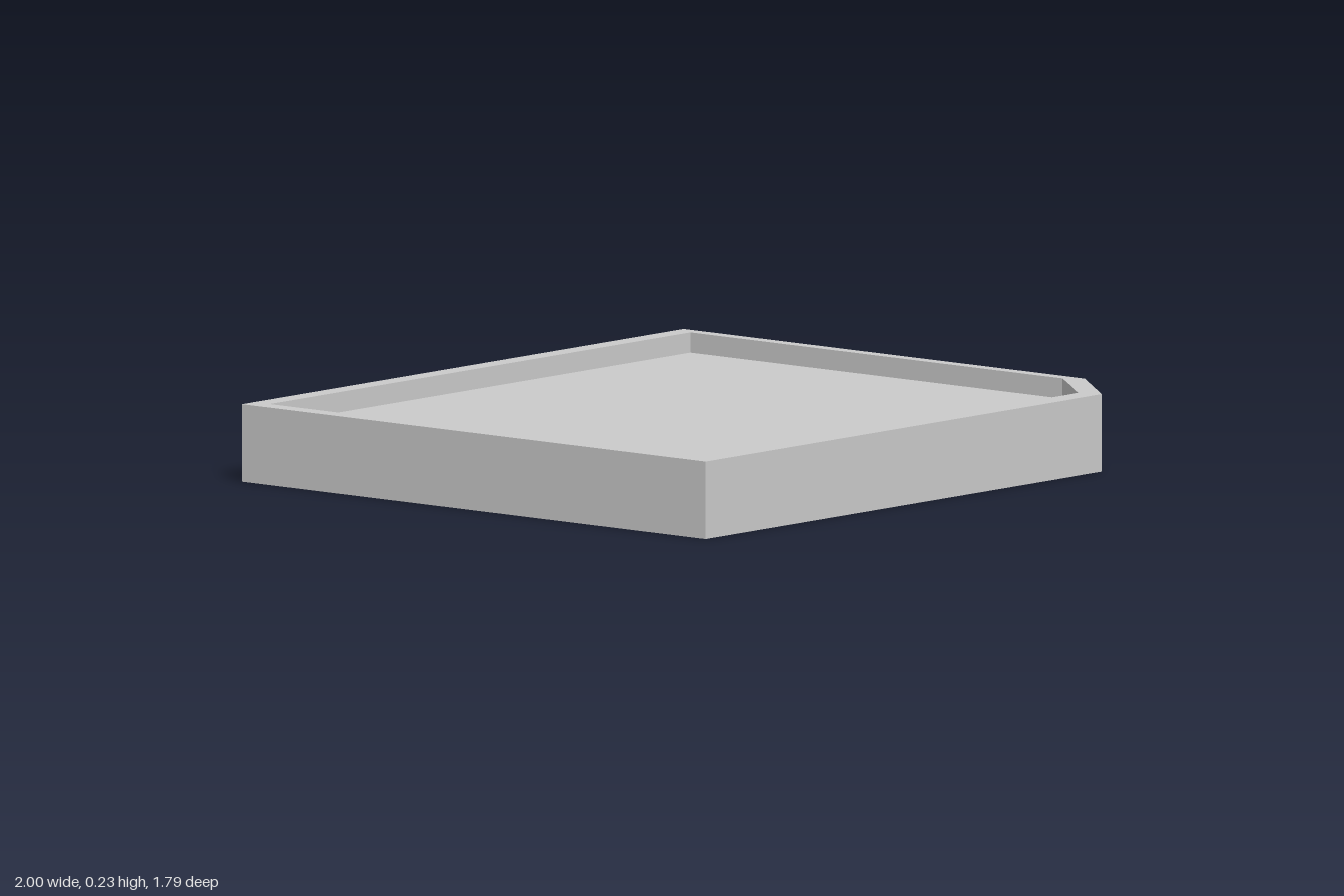
import * as THREE from 'three';

const material = new THREE.MeshStandardMaterial({ color: 0xcccccc, flatShading: true });

// Outlines seen from above as [x, z], each with one clipped front corner
const outer = [[-1, 0.895], [0.795, 0.895], [1, 0.655], [1, -0.895], [-1, -0.895]];
const inner = [[-0.945, 0.825], [0.77, 0.825], [0.96, 0.6], [0.96, -0.835], [-0.945, -0.835]];

const toPoints = (outline) => outline.map(([x, z]) => new THREE.Vector2(x, -z));

// Extrudes a plan outline upward between two heights
function slab(name, shape, bottom, top) {
  const geometry = new THREE.ExtrudeGeometry(shape, { depth: top - bottom, bevelEnabled: false });
  geometry.rotateX(-Math.PI / 2).translate(0, bottom, 0);
  const mesh = new THREE.Mesh(geometry, material);
  mesh.name = name;
  return mesh;
}

export function createModel() {
  const group = new THREE.Group();
  group.name = 'tray';

  // Raised rim around the whole edge
  const rim = new THREE.Shape(toPoints(outer));
  rim.holes.push(new THREE.Path(toPoints(inner)));
  group.add(slab('rim', rim, 0, 0.23));

  // Panel recessed from both the top and the underside
  group.add(slab('panel', new THREE.Shape(toPoints(inner)), 0.055, 0.17));

  return group;
}
